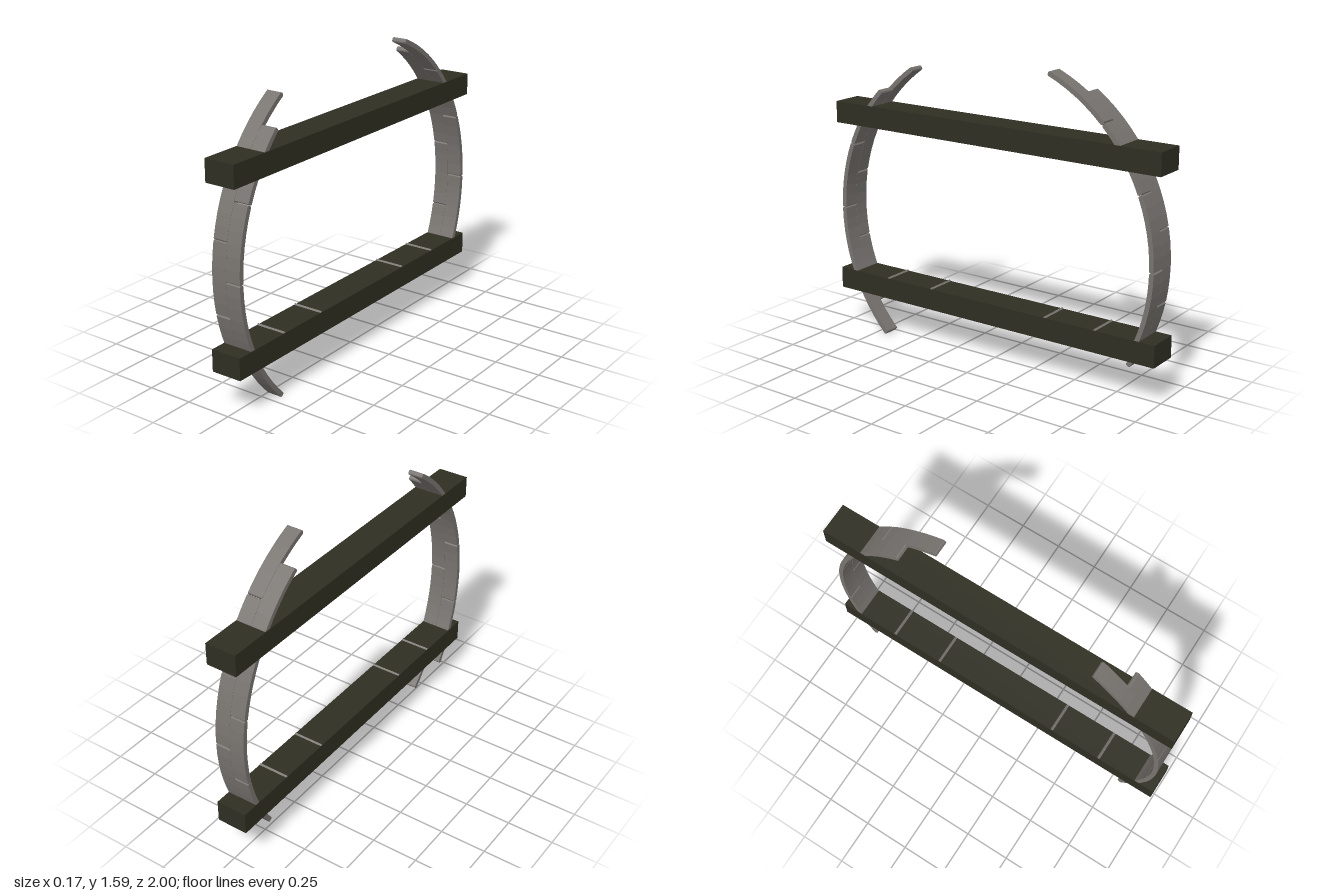
import * as THREE from 'three';

const R_OUT = 0.98, R_IN = 0.955, CENTER_Y = 0.693, STEP = 22.5;

// Curved plank between two angles (degrees above horizontal), with chamfered ends
function plankGeometry(a0, a1, width) {
  const chamfer = 0.35, facets = 6, bevel = 0.004;
  const shape = new THREE.Shape();
  const at = (r, deg, start) => {
    const a = THREE.MathUtils.degToRad(deg);
    shape[start ? 'moveTo' : 'lineTo'](r * Math.cos(a), r * Math.sin(a));
  };
  const lo = a0 + chamfer, hi = a1 - chamfer;
  for (let i = 0; i <= facets; i++) at(R_OUT, lo + (hi - lo) * i / facets, i === 0);
  at(R_OUT - bevel * 1.5, a1 - 0.05);
  at(R_IN + bevel * 1.5, a1 - 0.05);
  for (let i = facets; i >= 0; i--) at(R_IN, lo + (hi - lo) * i / facets);
  at(R_IN + bevel * 1.5, a0 + 0.05);
  at(R_OUT - bevel * 1.5, a0 + 0.05);
  const geo = new THREE.ExtrudeGeometry(shape, { depth: width, bevelEnabled: false });
  geo.translate(0, 0, -width / 2);
  geo.rotateY(-Math.PI / 2); // profile x becomes +z
  return geo;
}

export function createModel() {
  const model = new THREE.Group();
  const darkWood = new THREE.MeshStandardMaterial({ color: 0x2f2e22 });
  darkWood.name = 'dark wood';
  const greyWood = new THREE.MeshStandardMaterial({ color: 0x787470 });
  greyWood.name = 'grey wood';

  const add = (parent, name, geo, mat, x = 0, y = 0, z = 0) => {
    const mesh = new THREE.Mesh(geo, mat);
    mesh.name = name;
    mesh.position.set(x, y, z);
    parent.add(mesh);
    return mesh;
  };

  // Two long horizontal beams
  const beam = new THREE.BoxGeometry(0.17, 0.117, 2);
  add(model, 'lowerBeam', beam, darkWood, 0, 0.278, 0);
  add(model, 'upperBeam', beam, darkWood, 0, 1.228, 0);

  // Paired rim layers, four staggered planks each
  const layers = [
    { name: 'frontRimLeft', x: 0.042, start: -45, back: false },
    { name: 'frontRimRight', x: -0.042, start: -33.75, back: false },
    { name: 'backRimLeft', x: 0.042, start: -22.5, back: true },
    { name: 'backRimRight', x: -0.042, start: -33.75, back: true },
  ];
  for (const { name, x, start, back } of layers) {
    const rim = new THREE.Group();
    rim.name = name;
    rim.position.set(x, CENTER_Y, 0);
    if (back) rim.rotation.y = Math.PI;
    for (let i = 0; i < 4; i++) {
      const a = start + i * STEP;
      add(rim, 'rimPlank', plankGeometry(a, a + STEP, 0.083), greyWood);
    }
    model.add(rim);
  }

  // Small ridges across the lower beam
  const ridge = new THREE.BoxGeometry(0.168, 0.013, 0.013);
  for (const z of [-0.66, -0.365, 0.365, 0.66]) {
    add(model, 'beamRidge', ridge, greyWood, 0, 0.335, z).rotation.x = Math.PI / 4;
  }
  return model;
}
